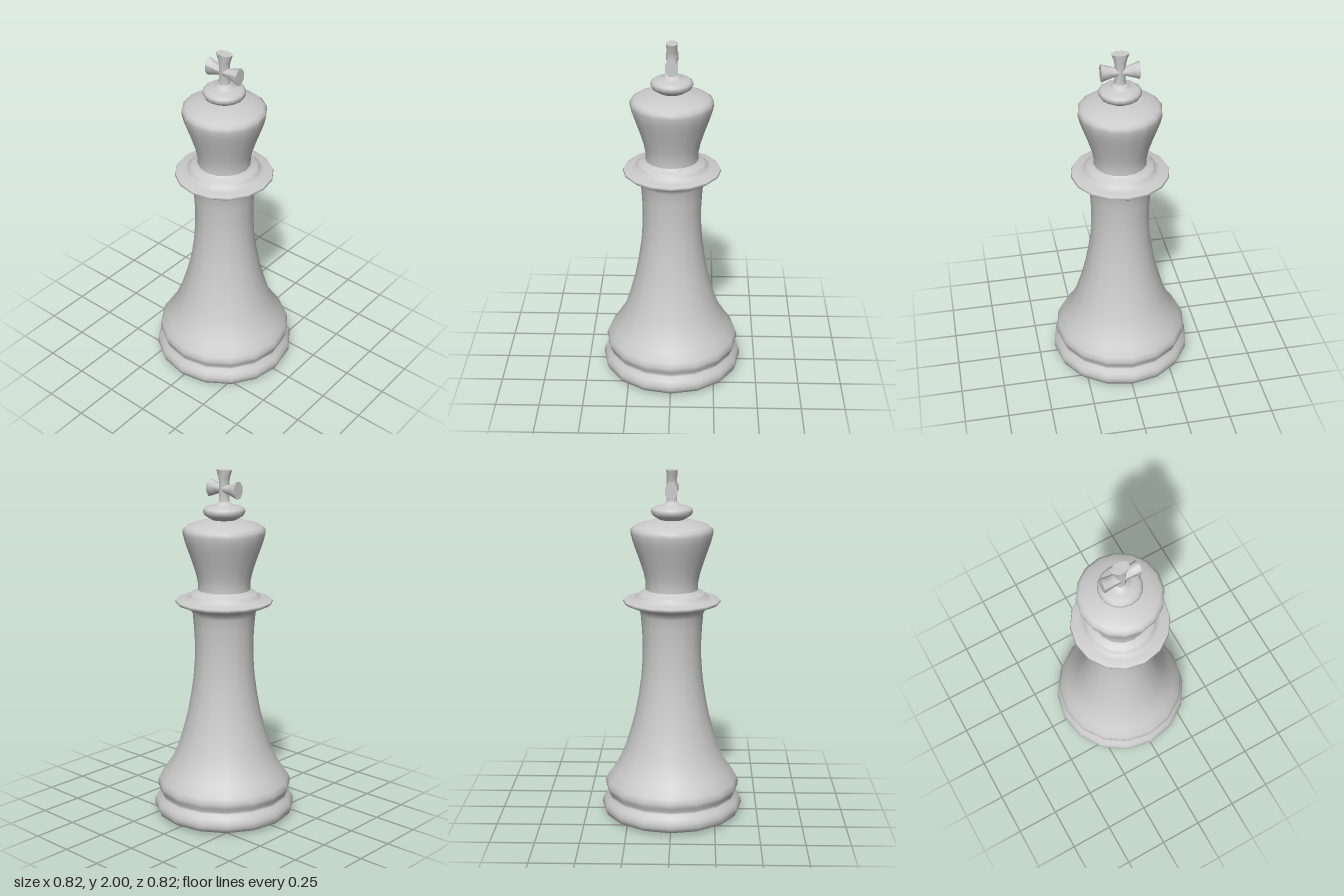
import * as THREE from 'three';

const material = new THREE.MeshStandardMaterial({ color: 0xcccccc });
const SIDES = 16;

// Turned part from a bottom-to-top profile of [radius, height]
function turned(name, profile) {
  const points = profile.map(([r, y]) => new THREE.Vector2(r, y));
  const mesh = new THREE.Mesh(new THREE.LatheGeometry(points, SIDES), material);
  mesh.name = name;
  return mesh;
}

// Chamfered bar along y; each section is [y, half width x, half depth z]
function flaredBar(name, sections) {
  const geo = new THREE.CylinderGeometry(1, 1, 1, 8, sections.length - 1);
  geo.rotateY(Math.PI / 8);
  const k = 1 / Math.cos(Math.PI / 8);
  const pos = geo.attributes.position;
  for (let i = 0; i < pos.count; i++) {
    const row = Math.round((pos.getY(i) + 0.5) * (sections.length - 1));
    const [y, w, d] = sections[row];
    pos.setXYZ(i, pos.getX(i) * w * k, y, pos.getZ(i) * d * k);
  }
  geo.computeVertexNormals();
  const mesh = new THREE.Mesh(geo, material);
  mesh.name = name;
  return mesh;
}

export function createModel() {
  const group = new THREE.Group();
  group.name = 'chessKing';

  // Underside
  group.add(turned('underside', [[0, 0], [0.28, 0], [0.37, 0.006]]));

  // Base mouldings and tapering stem
  group.add(turned('baseAndStem', [
    [0.37, 0.006], [0.398, 0.02], [0.409, 0.045], [0.407, 0.07], [0.395, 0.095],
    [0.375, 0.118], [0.372, 0.132], [0.386, 0.155], [0.39, 0.18], [0.38, 0.21],
    [0.345, 0.26], [0.302, 0.33], [0.268, 0.41], [0.24, 0.5], [0.213, 0.6],
    [0.192, 0.71], [0.176, 0.82], [0.168, 0.93], [0.167, 1.03], [0.172, 1.12],
    [0.178, 1.19], [0.192, 1.223], [0.225, 1.242],
  ]));

  // Flat collar with a stepped ring above
  group.add(turned('collar', [
    [0.225, 1.242], [0.265, 1.252], [0.277, 1.262], [0.272, 1.272], [0.23, 1.276],
    [0.205, 1.284], [0.198, 1.3], [0.185, 1.312], [0.16, 1.32], [0.148, 1.332],
  ]));

  // Flaring crown with a low dome
  group.add(turned('crown', [
    [0.148, 1.332], [0.148, 1.37], [0.158, 1.42], [0.18, 1.49], [0.205, 1.56],
    [0.222, 1.61], [0.231, 1.65], [0.23, 1.675], [0.212, 1.69], [0.17, 1.706],
    [0.11, 1.721], [0.06, 1.727], [0, 1.728],
  ]));

  // Button that carries the cross
  group.add(turned('button', [
    [0.06, 1.722], [0.082, 1.734], [0.108, 1.75], [0.118, 1.77], [0.114, 1.786],
    [0.098, 1.798], [0.065, 1.803], [0.045, 1.81], [0.034, 1.826], [0, 1.835],
  ]));

  // Cross: upright and horizontal arms, widening toward the tips
  const cross = new THREE.Group();
  cross.name = 'cross';
  cross.add(flaredBar('crossUpright', [
    [1.8, 0.042, 0.034], [1.825, 0.03, 0.029], [1.86, 0.027, 0.029],
    [1.93, 0.027, 0.029], [1.96, 0.033, 0.029], [2, 0.047, 0.031],
  ]));
  const arms = flaredBar('crossArms', [
    [-0.105, 0.047, 0.034], [-0.07, 0.035, 0.031], [-0.035, 0.024, 0.029],
    [0.035, 0.024, 0.029], [0.07, 0.035, 0.031], [0.105, 0.047, 0.034],
  ]);
  arms.rotation.z = Math.PI / 2;
  arms.position.y = 1.895;
  cross.add(arms);
  group.add(cross);

  return group;
}
